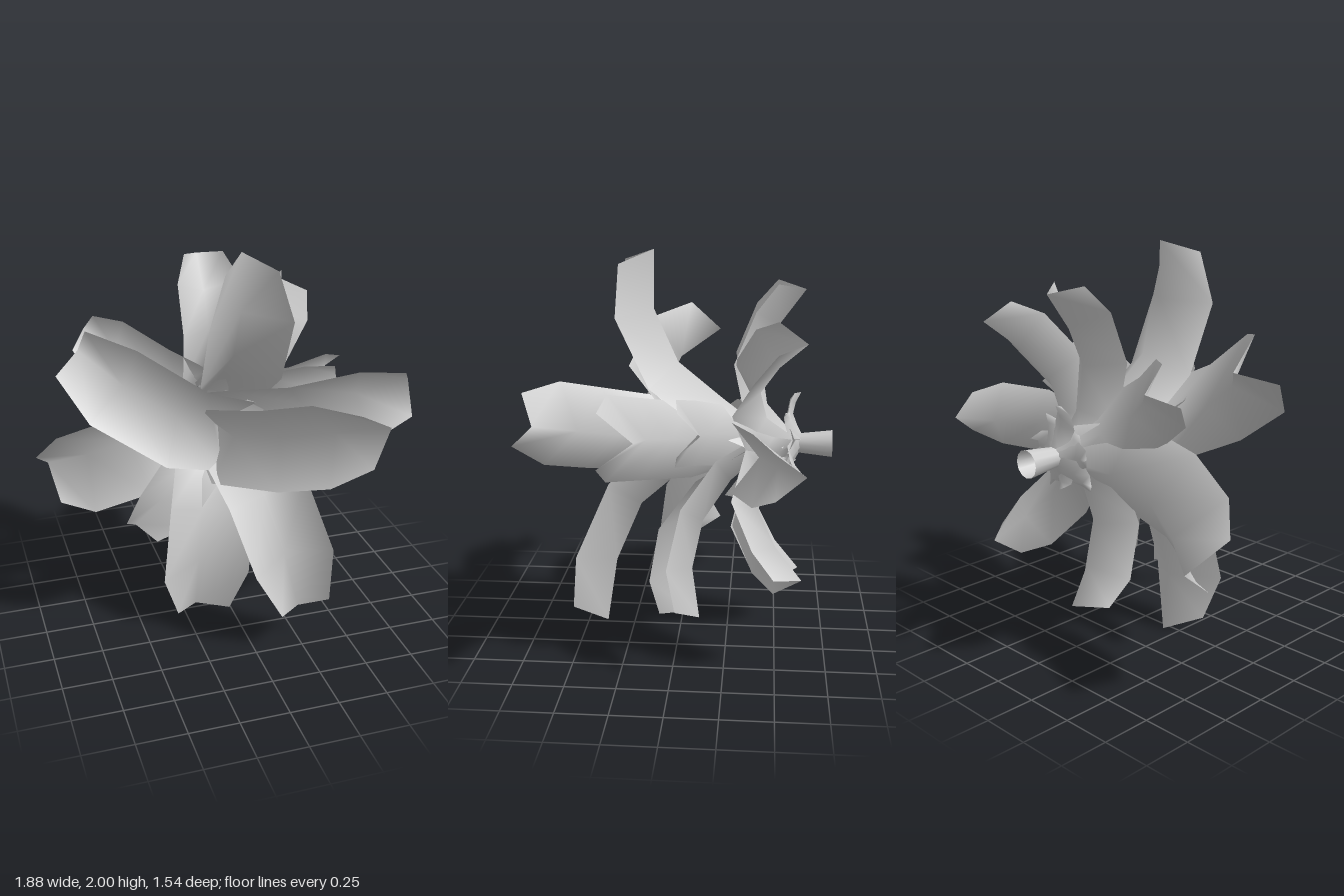
import * as THREE from 'three';

const material = new THREE.MeshStandardMaterial({ color: 0xcccccc, side: THREE.DoubleSide });
const V = (a) => new THREE.Vector3(...a);

// Half-width and fold depth along a petal, from base to tip
const WIDTH = [0.5, 0.95, 1, 1, 0.62];
const DEPTH = [0.55, 0.85, 0.95, 1, 0.95];
const SEPAL_WIDTH = [0.5, 0.95, 1, 0.6, 0.02];

// V-folded petal swept along a spine; "facing" is the side its edges fold towards
function petal(name, spine, halfWidth, fold, facing = [0, 0, 1], widths = WIDTH) {
  const curve = new THREE.CatmullRomCurve3(spine.map(V));
  const rows = widths.length;
  const positions = [], index = [];
  for (let i = 0; i < rows; i++) {
    const t = i / (rows - 1);
    const p = curve.getPointAt(t), along = curve.getTangentAt(t);
    const side = along.clone().cross(V(facing)).normalize();
    const normal = side.clone().cross(along).normalize();
    for (let u = -1; u <= 1; u++) {
      const edge = Math.abs(u);
      const q = p.clone()
        .addScaledVector(side, u * halfWidth * widths[i])
        .addScaledVector(normal, edge * fold * DEPTH[i]);
      if (i === rows - 1) q.addScaledVector(along, -edge * halfWidth * 0.27);
      positions.push(q.x, q.y, q.z);
      if (i && u > -1) {
        const d = i * 3 + u + 1, c = d - 1, b = d - 3, a = b - 1;
        index.push(a, b, d, a, d, c);
      }
    }
  }
  const geometry = new THREE.BufferGeometry();
  geometry.setAttribute('position', new THREE.Float32BufferAttribute(positions, 3));
  geometry.setIndex(index);
  geometry.computeVertexNormals();
  const mesh = new THREE.Mesh(geometry, material);
  mesh.name = name;
  return mesh;
}

export function createModel() {
  const flower = new THREE.Group();
  flower.name = 'flower';
  const cx = 0.02, cy = 1.04;

  // Large front petals
  const front = new THREE.Group();
  front.name = 'frontPetals';
  front.add(
    petal('topPetal', [[0.03, 1.08, -0.45], [0.03, 1.27, -0.2], [0.03, 1.43, 0.0], [0.03, 1.65, 0.12], [0.03, 2, 0.13]], 0.21, 0.17),
    petal('upperRightPetal', [[0.02, 1.04, -0.3], [-0.1, 1.09, 0.03], [-0.35, 1.23, 0.12], [-0.54, 1.36, 0.04], [-0.72, 1.49, -0.17]], 0.21, 0.18),
    petal('innerPetal', [[-0.02, 1.01, -0.2], [0.03, 1.04, 0.13], [0.35, 1.15, 0.42], [0.61, 1.24, 0.64]], 0.21, 0.2, [-0.7, 0, 0.7]),
    petal('leftPetal', [[0.04, 1.04, -0.4], [0.24, 1.09, -0.1], [0.56, 1.18, 0.08], [0.94, 1.26, 0.13]], 0.2, 0.19),
    petal('lowerLeftPetal', [[0.03, 1.0, -0.35], [0.09, 0.87, 0.05], [0.18, 0.58, 0.27], [0.28, 0.14, 0.35]], 0.21, 0.18),
    petal('lowerRightPetal', [[0.0, 1.0, -0.42], [-0.07, 0.78, -0.14], [-0.15, 0.42, 0], [-0.17, 0, -0.04]], 0.23, 0.16),
  );
  flower.add(front);

  // Smaller petals of the middle layer
  const middle = new THREE.Group();
  middle.name = 'middlePetals';
  middle.add(
    petal('middleLeftPetal', [[0.03, 1.06, -0.45], [0.25, 1.13, -0.2], [0.46, 1.18, -0.12], [0.65, 1.22, -0.14]], 0.16, 0.11),
    petal('middleLowerLeftPetal', [[0.03, 1.0, -0.45], [0.13, 0.78, -0.2], [0.23, 0.5, -0.08], [0.33, 0.19, -0.12]], 0.16, 0.12),
    petal('middleLowerRightPetal', [[0.0, 1.0, -0.45], [-0.15, 0.83, -0.2], [-0.32, 0.63, -0.13], [-0.46, 0.46, -0.19]], 0.17, 0.12),
  );
  flower.add(middle);

  // Back ring, bent forward and then curling back: angle, length, half-width, fold
  const back = new THREE.Group();
  back.name = 'backPetals';
  const ring = [[90, 0.77, 0.17, 0.14], [50, 0.76, 0.16, 0.14], [3, 0.77, 0.17, 0.14], [-50, 0.74, 0.16, 0.14],
    [-100, 0.75, 0.17, 0.15], [202, 0.94, 0.25, 0.2], [147, 0.75, 0.17, 0.14]];
  for (const [angle, length, halfWidth, fold] of ring) {
    const a = THREE.MathUtils.degToRad(angle);
    const at = (r, z) => [cx + Math.cos(a) * r, cy + Math.sin(a) * r, z];
    back.add(petal('backPetal',
      [at(0.03, -0.58), at(length * 0.3, -0.42), at(length * 0.6, -0.42), at(length, -0.62)], halfWidth, fold));
  }
  flower.add(back);

  // Small pointed sepals around the stem
  const sepals = new THREE.Group();
  sepals.name = 'sepals';
  for (let i = 0; i < 9; i++) {
    const a = (i / 9) * Math.PI * 2 + 0.3;
    const r = 0.17 + 0.04 * (i % 3);
    const at = (s, z) => [cx + Math.cos(a) * s, cy + Math.sin(a) * s, z];
    sepals.add(petal('sepal', [at(0.03, -0.62), at(r * 0.6, -0.57), at(r, -0.61 + 0.06 * (i % 2))],
      0.07, 0.03, [0, 0, 1], SEPAL_WIDTH));
  }
  flower.add(sepals);

  // Short open stem, flaring towards the back
  const stem = new THREE.Mesh(new THREE.CylinderGeometry(0.05, 0.07, 0.17, 12, 1, true), material);
  stem.name = 'stem';
  stem.rotation.x = Math.PI / 2;
  stem.position.set(cx, cy - 0.01, -0.685);
  flower.add(stem);

  return flower;
}
